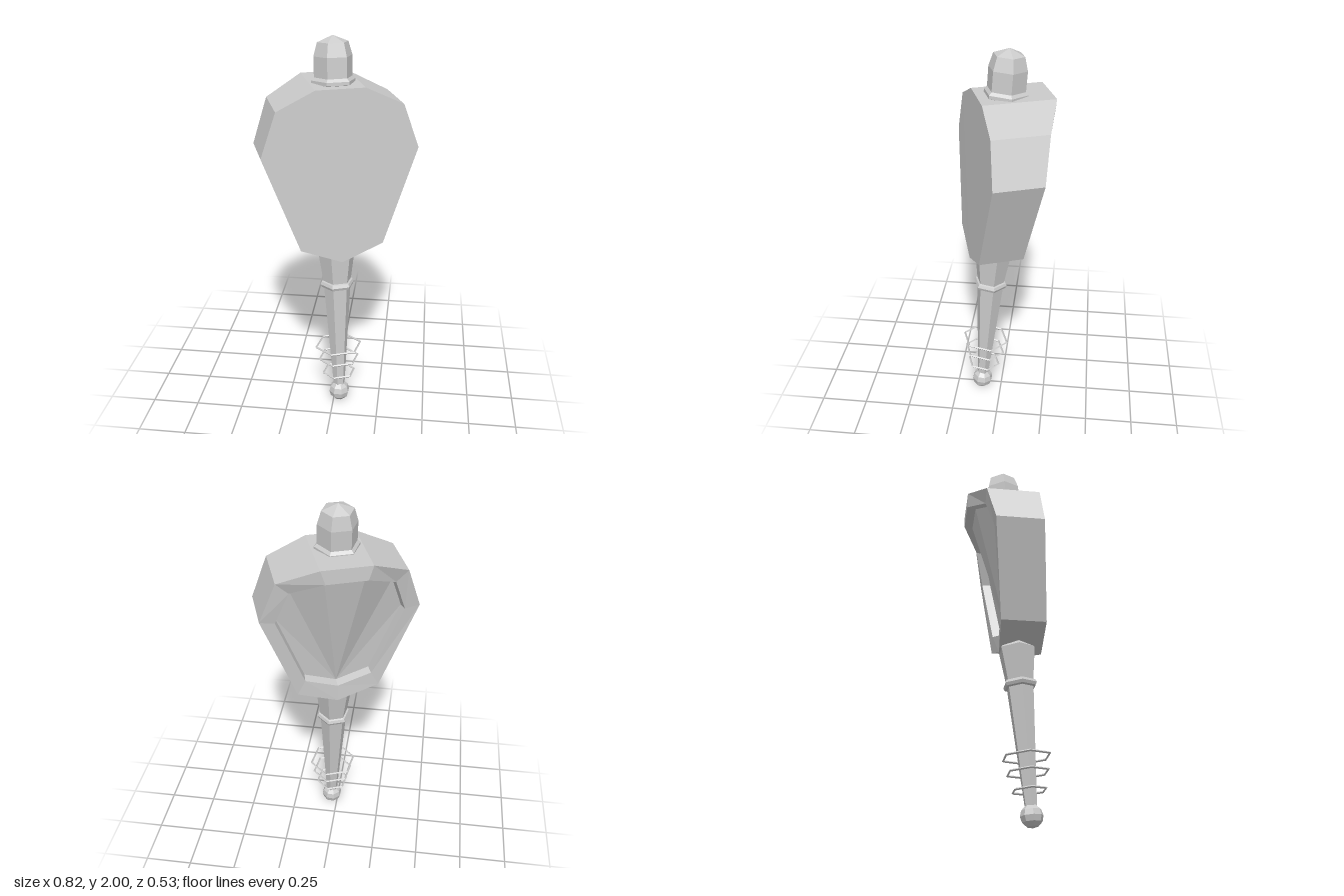
import * as THREE from 'three';

const mat = new THREE.MeshStandardMaterial({ color: 0xcccccc, flatShading: true, side: THREE.DoubleSide });

function add(parent, name, geometry) {
  const mesh = new THREE.Mesh(geometry, mat);
  mesh.name = name;
  parent.add(mesh);
  return mesh;
}

// Six-sided turned part with corners pointing sideways
function turned(points) {
  return new THREE.LatheGeometry(points.map(p => new THREE.Vector2(...p)), 6, Math.PI / 2);
}

// Faceted head: nine-sided outline, flat front, raised rim and recessed back
function headGeometry() {
  // x, y, front z, back z
  const half = [
    [0, 0.895, 0.17, -0.05],
    [0.213, 0.98, 0.165, -0.065],
    [0.392, 1.47, 0.135, -0.113],
    [0.313, 1.69, 0.124, -0.155],
    [0.122, 1.78, 0.119, -0.24],
  ];
  const outline = [...half, ...half.slice(1).reverse().map(([x, y, f, b]) => [-x, y, f, b])];
  const shrink = (s, dz) => outline.map(([x, y, , b]) => [x * s, 1.4 + (y - 1.4) * s, b + dz]);
  const loops = [
    outline.map(([x, y, f]) => [x, y, f]),
    shrink(1, 0),
    shrink(0.81, 0),
    shrink(0.79, 0.045),
  ];
  const n = outline.length;
  const pos = [];
  const tri = (a, b, c) => pos.push(...a, ...b, ...c);
  // sides, rim and inner wall
  for (let k = 0; k < 3; k++) {
    for (let i = 0; i < n; i++) {
      const j = (i + 1) % n;
      const [a, b, c, d] = [loops[k][i], loops[k + 1][i], loops[k + 1][j], loops[k][j]];
      tri(a, b, c);
      tri(a, c, d);
    }
  }
  // front face and recessed panel, fanned from the bottom tip
  for (let i = 1; i < n - 1; i++) {
    tri(loops[0][0], loops[0][i], loops[0][i + 1]);
    tri(loops[3][0], loops[3][i + 1], loops[3][i]);
  }
  const g = new THREE.BufferGeometry();
  g.setAttribute('position', new THREE.Float32BufferAttribute(pos, 3));
  g.computeVertexNormals();
  return g;
}

export function createModel() {
  const root = new THREE.Group();
  root.name = 'handMirror';

  const turn = new THREE.Group();
  turn.name = 'turnedBody';
  turn.rotation.y = THREE.MathUtils.degToRad(20);
  root.add(turn);

  const head = add(turn, 'head', headGeometry());
  head.position.x = -0.006;

  // Handle, rings and top knob share one axis leaning backwards
  const shaft = new THREE.Group();
  shaft.name = 'shaft';
  shaft.position.set(-0.007, 0, 0.115);
  shaft.rotation.x = THREE.MathUtils.degToRad(-4.5);
  turn.add(shaft);

  add(shaft, 'handle', turned([
    [0, 0.08], [0.03, 0.08], [0.073, 0.71], [0.074, 0.73], [0.1, 0.915], [0.085, 0.935], [0, 0.935],
  ]));
  add(shaft, 'handleCollar', turned([
    [0.072, 0.7], [0.085, 0.705], [0.092, 0.72], [0.085, 0.735], [0.072, 0.74],
  ]));
  add(shaft, 'endBall', new THREE.SphereGeometry(0.057, 8, 6)).position.y = 0.058;

  // Loose thin rings round the lower handle
  for (const [y, r] of [[0.18, 0.087], [0.268, 0.108], [0.345, 0.124]]) {
    const ring = add(shaft, 'handleRing', new THREE.TorusGeometry(r, 0.006, 4, 6));
    ring.rotation.x = Math.PI / 2;
    ring.position.y = y;
  }

  // Knob and its collar on top of the head
  add(shaft, 'knob', turned([
    [0, 1.74], [0.096, 1.74], [0.096, 1.91], [0.077, 1.975], [0, 2.006],
  ]));
  add(shaft, 'knobCollar', turned([
    [0.09, 1.77], [0.11, 1.78], [0.11, 1.797], [0.094, 1.813],
  ]));

  return root;
}
